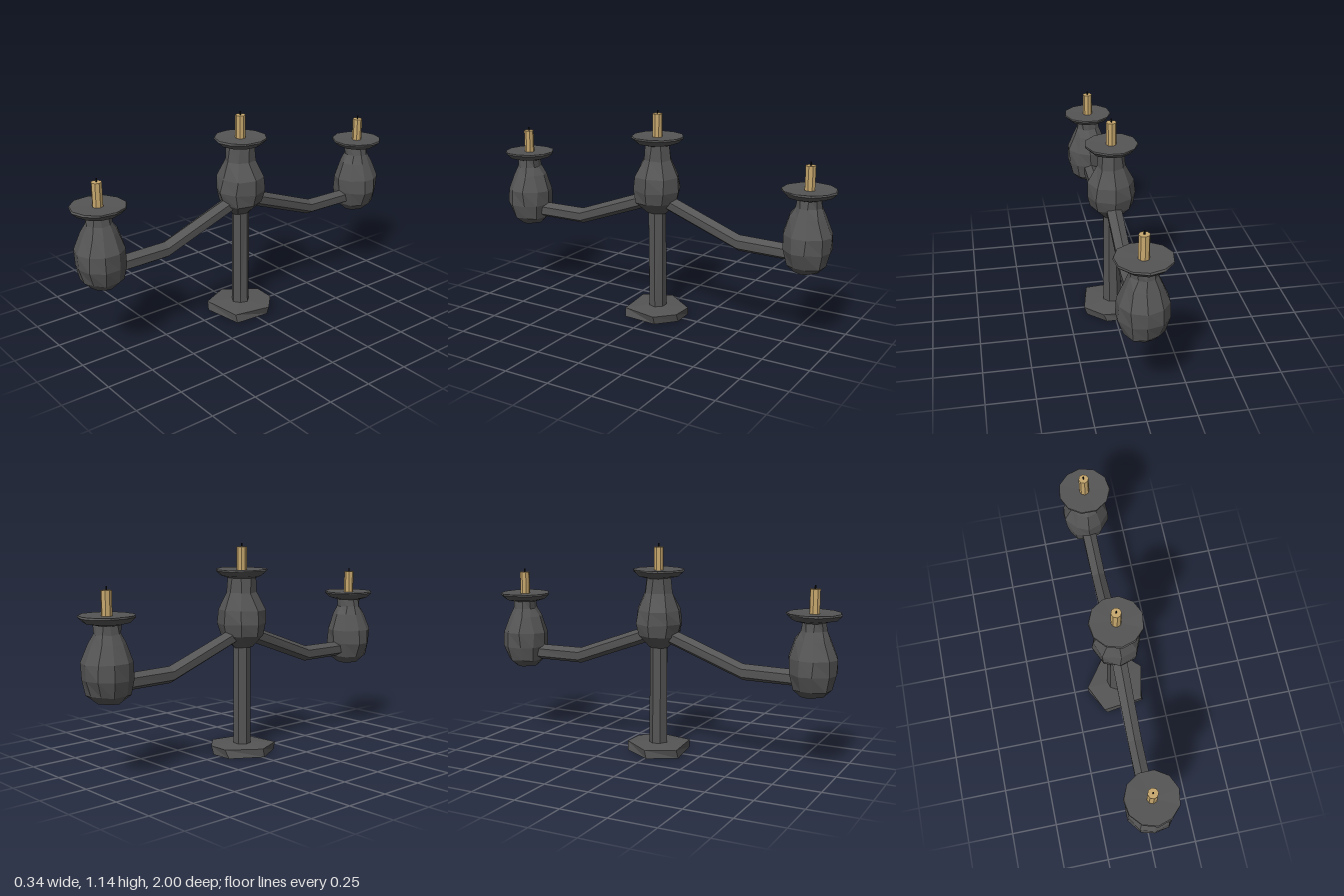
import * as THREE from 'three';

const iron = new THREE.MeshStandardMaterial({ color: 0x555555, flatShading: true });
const wax = new THREE.MeshStandardMaterial({ color: 0xc8a86e, flatShading: true });
const char = new THREE.MeshStandardMaterial({ color: 0x151515, flatShading: true });

// Hand-hewn look: shift vertices by a position hash, so shared corners stay joined
function roughen(geometry, amount) {
  const p = geometry.attributes.position;
  const hash = (x, y, z, k) => {
    const s = Math.sin(Math.round(x * 1000) * 12.9 + Math.round(y * 1000) * 78.2 + Math.round(z * 1000) * 37.7 + k) * 4375.85;
    return (s - Math.floor(s) - 0.5) * 2 * amount;
  };
  for (let i = 0; i < p.count; i++) {
    const x = p.getX(i), y = p.getY(i), z = p.getZ(i);
    p.setXYZ(i, x + hash(x, y, z, 1), y + hash(x, y, z, 2) * 0.6, z + hash(x, y, z, 3));
  }
  geometry.computeVertexNormals();
  return geometry;
}

function add(parent, name, geometry, material, y = 0) {
  const mesh = new THREE.Mesh(geometry, material);
  mesh.name = name;
  mesh.position.y = y;
  parent.add(mesh);
  return mesh;
}

// Lathe from [radius, height] pairs
const turned = (pairs, sides, rough) =>
  roughen(new THREE.LatheGeometry(pairs.map(([r, y]) => new THREE.Vector2(r, y)), sides), rough);

// Bulb, drip dish, candle and wick; dishY is the top of the dish
function candleHolder(name, bulbProfile, dishY, sides) {
  const holder = new THREE.Group();
  holder.name = name;
  add(holder, 'bulb', turned(bulbProfile, sides, 0.006), iron);
  add(holder, 'dripDish', turned(
    [[0, -0.045], [0.075, -0.045], [0.112, -0.034], [0.14, -0.008], [0.138, 0], [0, -0.004]], 11, 0.003), iron, dishY);
  add(holder, 'candle', new THREE.CylinderGeometry(0.027, 0.027, 0.125, 8), wax, dishY + 0.055);
  add(holder, 'wick', new THREE.CylinderGeometry(0.004, 0.004, 0.02, 5), char, dishY + 0.126);
  return holder;
}

// Six-sided bar whose rings follow [z, y] stations
function armGeometry(stations) {
  const g = new THREE.CylinderGeometry(0.043, 0.043, 1, 6, stations.length - 1, true);
  g.rotateX(Math.PI / 2);
  const p = g.attributes.position;
  for (let i = 0; i < p.count; i++) {
    const [z, y] = stations[Math.round((p.getZ(i) + 0.5) * (stations.length - 1))];
    p.setXYZ(i, p.getX(i), p.getY(i) + y, z);
  }
  return roughen(g, 0.003);
}

export function createModel() {
  const model = new THREE.Group();
  model.name = 'candelabra';

  // Irregular six-cornered foot with a slightly raised top
  const corners = [[-0.17, 0.0], [-0.1, 0.155], [0.125, 0.13], [0.165, -0.07], [0.07, -0.16], [-0.05, -0.165]];
  const lower = [[-0.17, 0.01], [-0.085, 0.16], [0.135, 0.125], [0.15, -0.07], [0.05, -0.16], [-0.07, -0.155]];
  const tri = [];
  corners.forEach(([x, z], i) => {
    const j = (i + 1) % corners.length;
    const [u, w] = corners[j], [a, b] = lower[i], [c, d] = lower[j];
    tri.push(0, 0.055, 0, x, 0.046, z, u, 0.046, w);
    tri.push(x, 0.046, z, a, 0, b, c, 0, d, x, 0.046, z, c, 0, d, u, 0.046, w);
    tri.push(0, 0, 0, c, 0, d, a, 0, b);
  });
  const foot = new THREE.BufferGeometry();
  foot.setAttribute('position', new THREE.Float32BufferAttribute(tri, 3));
  foot.computeVertexNormals();
  add(model, 'foot', foot, iron);

  // Central stem
  add(model, 'stem', roughen(new THREE.CylinderGeometry(0.048, 0.05, 0.58, 7), 0.003), iron, 0.335);

  // Central holder
  model.add(candleHolder('centreHolder', [
    [0, 0.58], [0.055, 0.582], [0.115, 0.645], [0.13, 0.71], [0.122, 0.785],
    [0.078, 0.875], [0.07, 0.96], [0, 0.96]], 1.0, 8));

  // Two opposite arms, each with its own holder
  [0, Math.PI].forEach((turn, i) => {
    const side = new THREE.Group();
    side.name = i ? 'backArm' : 'frontArm';
    side.rotation.y = turn;
    add(side, 'armBar', armGeometry([[0.04, 0.655], [0.49, 0.49], [0.8, 0.487]]), iron);
    const holder = candleHolder('armHolder', [
      [0, 0.402], [0.06, 0.404], [0.106, 0.442], [0.126, 0.52], [0.124, 0.6],
      [0.092, 0.69], [0.064, 0.735], [0.062, 0.79], [0, 0.79]], 0.825, 10);
    holder.position.z = 0.86;
    side.add(holder);
    model.add(side);
  });
  return model;
}
